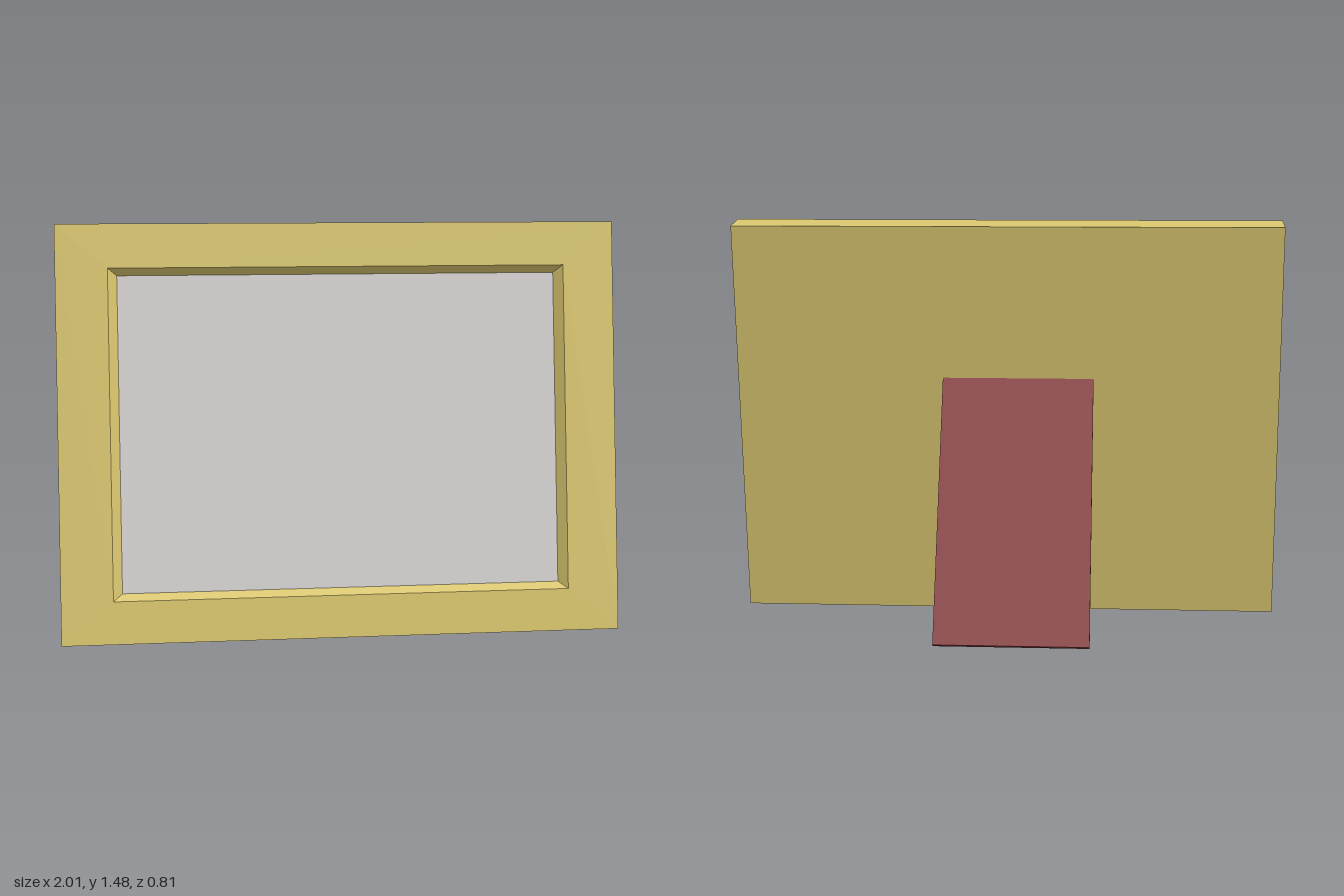
import * as THREE from 'three';

const W = 1.99, H = 1.47, T = 0.1325;   // frame width, height, thickness
const YAW = 0.098, LEAN = 0.141, PROP = 0.453;
const RECESS = 0.025;

// four corners of a rectangle, anticlockwise from the front
const rect = (halfW, y0, y1, z) => [
  [-halfW, y0, z], [halfW, y0, z], [halfW, y1, z], [-halfW, y1, z],
];

// flat-sided skin through successive rectangles, with an optional back cap
function skin(loops, capBack) {
  const p = [];
  const quad = (a, b, c, d) => p.push(...a, ...b, ...c, ...a, ...c, ...d);
  for (let i = 0; i + 1 < loops.length; i++) {
    for (let k = 0; k < 4; k++) {
      const n = (k + 1) % 4;
      quad(loops[i][k], loops[i][n], loops[i + 1][n], loops[i + 1][k]);
    }
  }
  if (capBack) quad(...[...loops[0]].reverse());
  const g = new THREE.BufferGeometry();
  g.setAttribute('position', new THREE.Float32BufferAttribute(p, 3));
  g.computeVertexNormals();
  return g;
}

export function createModel() {
  const gold = new THREE.MeshStandardMaterial({ name: 'gold', color: 0xd8c56d });
  const grey = new THREE.MeshStandardMaterial({ name: 'paleGrey', color: 0xd5d2d1 });
  const red = new THREE.MeshStandardMaterial({ name: 'darkRed', color: 0x8b3c3e });

  const model = new THREE.Group();
  model.name = 'pictureFrame';

  // everything is turned slightly about the vertical
  const turned = new THREE.Group();
  turned.name = 'turnedFrame';
  turned.position.set(0.01, 0, 0.3075);
  turned.rotation.y = YAW;
  model.add(turned);

  // leaning frame and picture, hinged on the bottom front edge
  const leaning = new THREE.Group();
  leaning.name = 'leaningFrame';
  leaning.position.y = 0.023;
  leaning.rotation.x = -LEAN;
  turned.add(leaning);

  // frame: back, outer sides, front border, bevelled opening
  const frame = new THREE.Mesh(skin([
    rect(W / 2, 0, H, -T),
    rect(W / 2, 0, H, 0),
    rect(0.813, 0.15, 1.315, 0),
    rect(0.781, 0.175, 1.29, -RECESS),
  ], true), gold);
  frame.name = 'frame';
  leaning.add(frame);

  // recessed picture panel
  const picture = new THREE.Mesh(new THREE.PlaneGeometry(1.562, 1.115), grey);
  picture.name = 'picture';
  picture.position.set(0, 0.7325, -RECESS);
  leaning.add(picture);

  // prop leg at the back, pivoting on its bottom rear edge
  const leg = new THREE.BoxGeometry(0.553, 0.99, 0.027);
  leg.translate(0, 0.495, 0.0135);
  const stand = new THREE.Mesh(leg, red);
  stand.name = 'backStand';
  stand.position.set(-0.042, 0.013, -0.695);
  stand.rotation.x = PROP;
  turned.add(stand);

  return model;
}
